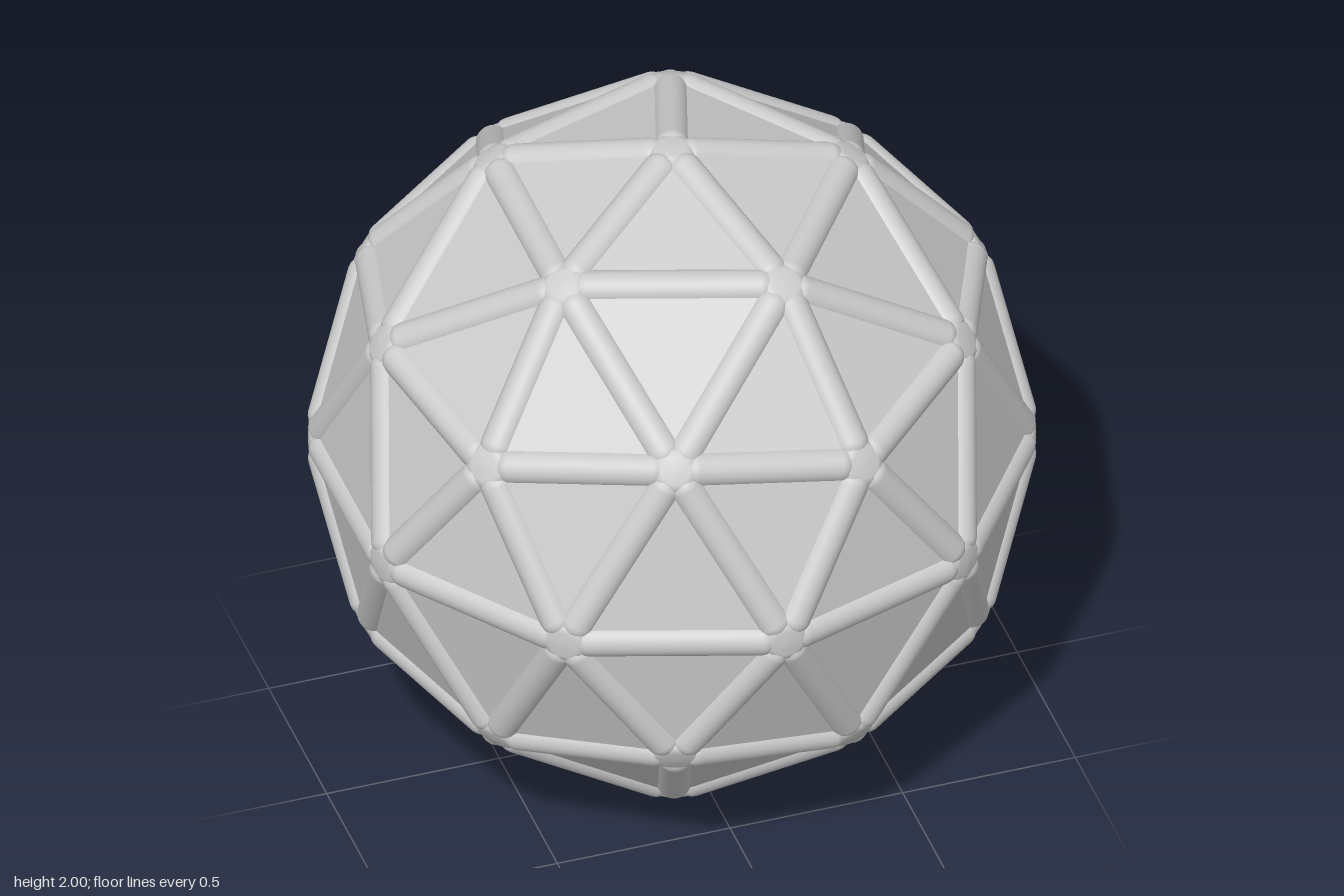
import * as THREE from 'three';
import { ConvexGeometry } from 'three/addons/geometries/ConvexGeometry.js';

const PANEL_R = 0.999;     // radius of the panel corners
const STRUT_R = 0.049;     // strut radius
const STRUT_SINK = 0.03;   // depth of the strut axis below the panel edge

// Nodes of a two-frequency geodesic sphere with a five-fold axis along y
function geodesicNodes() {
  const y = 1 / Math.sqrt(5), r = 2 / Math.sqrt(5);
  const base = [new THREE.Vector3(0, 1, 0), new THREE.Vector3(0, -1, 0)];
  for (let k = 0; k < 5; k++) {
    const a = (k * 2 * Math.PI) / 5, b = a + Math.PI / 5;
    base.push(new THREE.Vector3(r * Math.cos(a), y, r * Math.sin(a)));
    base.push(new THREE.Vector3(r * Math.cos(b), -y, r * Math.sin(b)));
  }
  const nodes = [...base];
  eachPair(base, 1.1, (p, q) => nodes.push(p.clone().add(q).normalize()));
  return nodes.map((p) => p.multiplyScalar(PANEL_R));
}

// Calls fn for every pair of points closer than maxDist
function eachPair(points, maxDist, fn) {
  for (let i = 0; i < points.length; i++)
    for (let j = i + 1; j < points.length; j++)
      if (points[i].distanceTo(points[j]) < maxDist) fn(points[i], points[j]);
}

// Round bar with softly tapered ends, lying along y
function strutGeometry(length) {
  const h = length / 2;
  const half = [[0.6, h - 0.03], [0.85, h - 0.045], [0.96, h - 0.056], [1, h - 0.068]];
  const profile = [
    ...half.map(([r, y]) => new THREE.Vector2(r * STRUT_R, -y)),
    ...half.reverse().map(([r, y]) => new THREE.Vector2(r * STRUT_R, y)),
  ];
  return new THREE.LatheGeometry(profile, 24);
}

export function createModel() {
  const model = new THREE.Group();
  model.name = 'geodesicSphere';
  const material = new THREE.MeshStandardMaterial({ color: 0xcccccc });
  const panelMaterial = new THREE.MeshStandardMaterial({ color: 0xcccccc, flatShading: true });
  const nodes = geodesicNodes();

  // Flat triangular panels
  const panels = new THREE.Mesh(new ConvexGeometry(nodes), panelMaterial);
  panels.name = 'panels';
  panels.position.y = 1;
  model.add(panels);

  // Struts along every panel edge, sunk so only a low ridge shows
  const struts = new THREE.Group();
  struts.name = 'struts';
  struts.position.y = 1;
  eachPair(nodes, 0.65, (p, q) => {
    const along = q.clone().sub(p).normalize();
    const middle = p.clone().add(q).multiplyScalar(0.5);
    const strut = new THREE.Mesh(strutGeometry(p.distanceTo(q)), material);
    strut.name = 'strut';
    strut.quaternion.setFromUnitVectors(new THREE.Vector3(0, 1, 0), along);
    strut.position.copy(middle).setLength(middle.length() - STRUT_SINK);
    struts.add(strut);
  });
  model.add(struts);

  // Low rounded hubs where the struts meet
  const hubs = new THREE.Group();
  hubs.name = 'hubs';
  hubs.position.y = 1;
  const hubGeometry = new THREE.LatheGeometry(
    [[0.066, -0.03], [0.063, -0.016], [0.054, -0.006], [0.04, -0.001], [0, 0.001]]
      .map(([r, y]) => new THREE.Vector2(r, y)), 20);
  for (const p of nodes) {
    const hub = new THREE.Mesh(hubGeometry, material);
    hub.name = 'hub';
    hub.position.copy(p);
    hub.quaternion.setFromUnitVectors(new THREE.Vector3(0, 1, 0), p.clone().normalize());
    hubs.add(hub);
  }
  model.add(hubs);
  return model;
}
